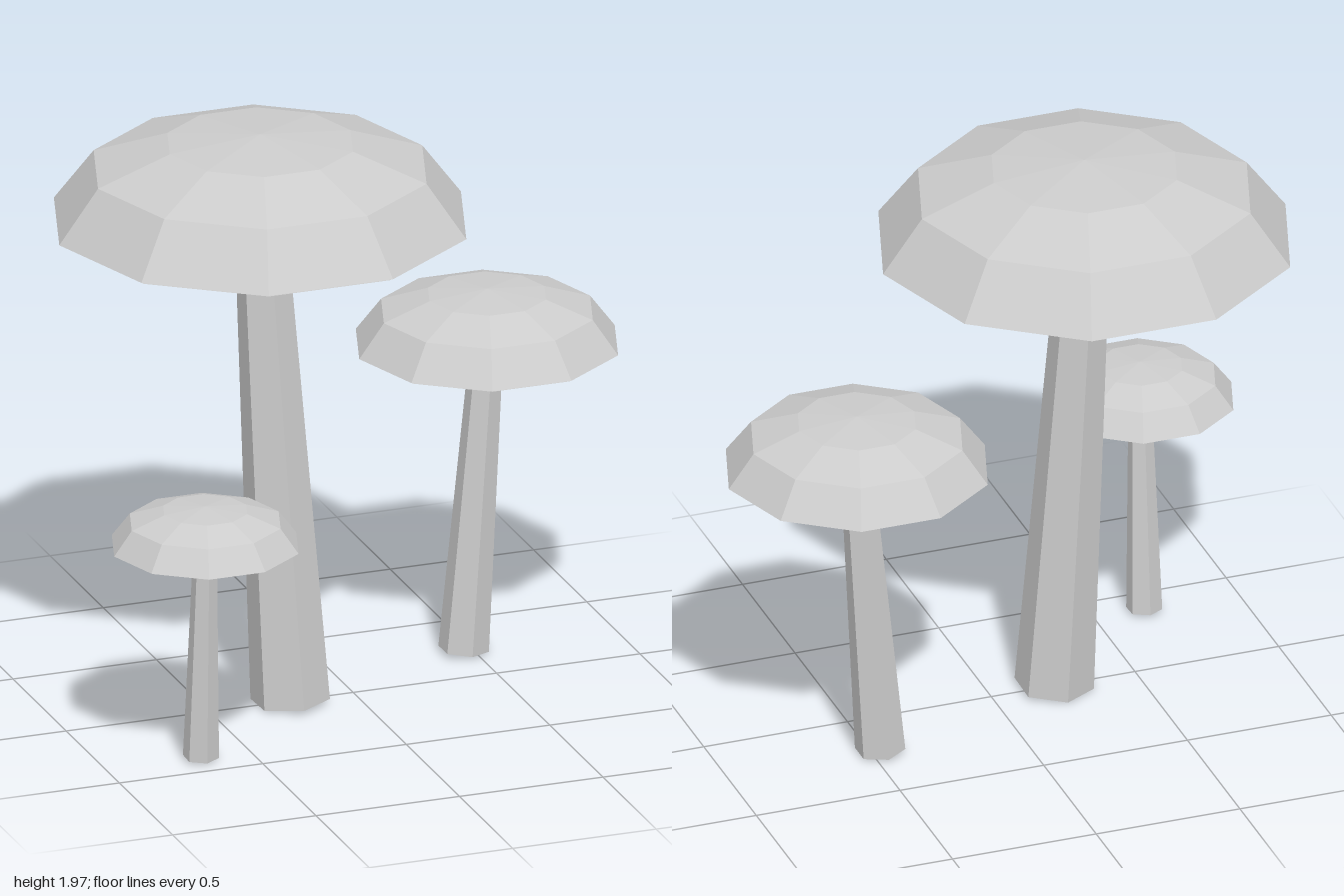
import * as THREE from 'three';

const paleGrey = new THREE.MeshStandardMaterial({ color: 0xcccccc });
paleGrey.name = 'paleGrey';

// Faceted normals for the low-poly look
function faceted(geometry) {
  const g = geometry.toNonIndexed();
  g.computeVertexNormals();
  return g;
}

function part(name, geometry) {
  const mesh = new THREE.Mesh(faceted(geometry), paleGrey);
  mesh.name = name;
  return mesh;
}

// Ten-sided solid turned from [radius, height] points, listed bottom to top
function turned(points) {
  return new THREE.LatheGeometry(points.map(([r, y]) => new THREE.Vector2(r, y)), 10, Math.PI / 2);
}

// Profiles of the largest mushroom, measured from the cap rim
const capProfile = [[0, 0], [0.7, 0], [0.565, 0.18], [0.315, 0.267], [0, 0.295]];
const gillProfile = [[0, -0.205], [0.097, -0.205], [0.39, -0.07], [0.685, -0.008], [0, -0.008]];

// foot: centre of the stem base; rim: centre of the cap rim
function mushroom(name, foot, rim, scale) {
  const group = new THREE.Group();
  group.name = name;

  // Leaning six-sided stem that tapers towards the cap
  const axis = rim.clone().sub(foot);
  const stem = part('stem', new THREE.CylinderGeometry(0.086 * scale, 0.132 * scale, axis.length(), 6));
  stem.position.copy(foot).addScaledVector(axis, 0.5);
  stem.quaternion.setFromUnitVectors(new THREE.Vector3(0, 1, 0), axis.normalize());
  group.add(stem);

  // Level cap with a narrow gap above the gills
  for (const [label, profile] of [['cap', capProfile], ['gills', gillProfile]]) {
    const mesh = part(label, turned(profile.map(([r, y]) => [r * scale, y * scale])));
    mesh.position.copy(rim);
    group.add(mesh);
  }
  return group;
}

export function createModel() {
  const model = new THREE.Group();
  model.name = 'mushrooms';
  const v = (x, y, z) => new THREE.Vector3(x, y, z);
  model.add(
    mushroom('largeMushroom', v(-0.22, 0.009, 0.002), v(-0.3, 1.68, -0.065), 1),
    mushroom('mediumMushroom', v(0.468, 0.01, -0.223), v(0.55, 1.073, -0.225), 0.636),
    mushroom('smallMushroom', v(-0.673, 0.008, 0.385), v(-0.675, 0.768, 0.43), 0.453),
  );
  return model;
}
